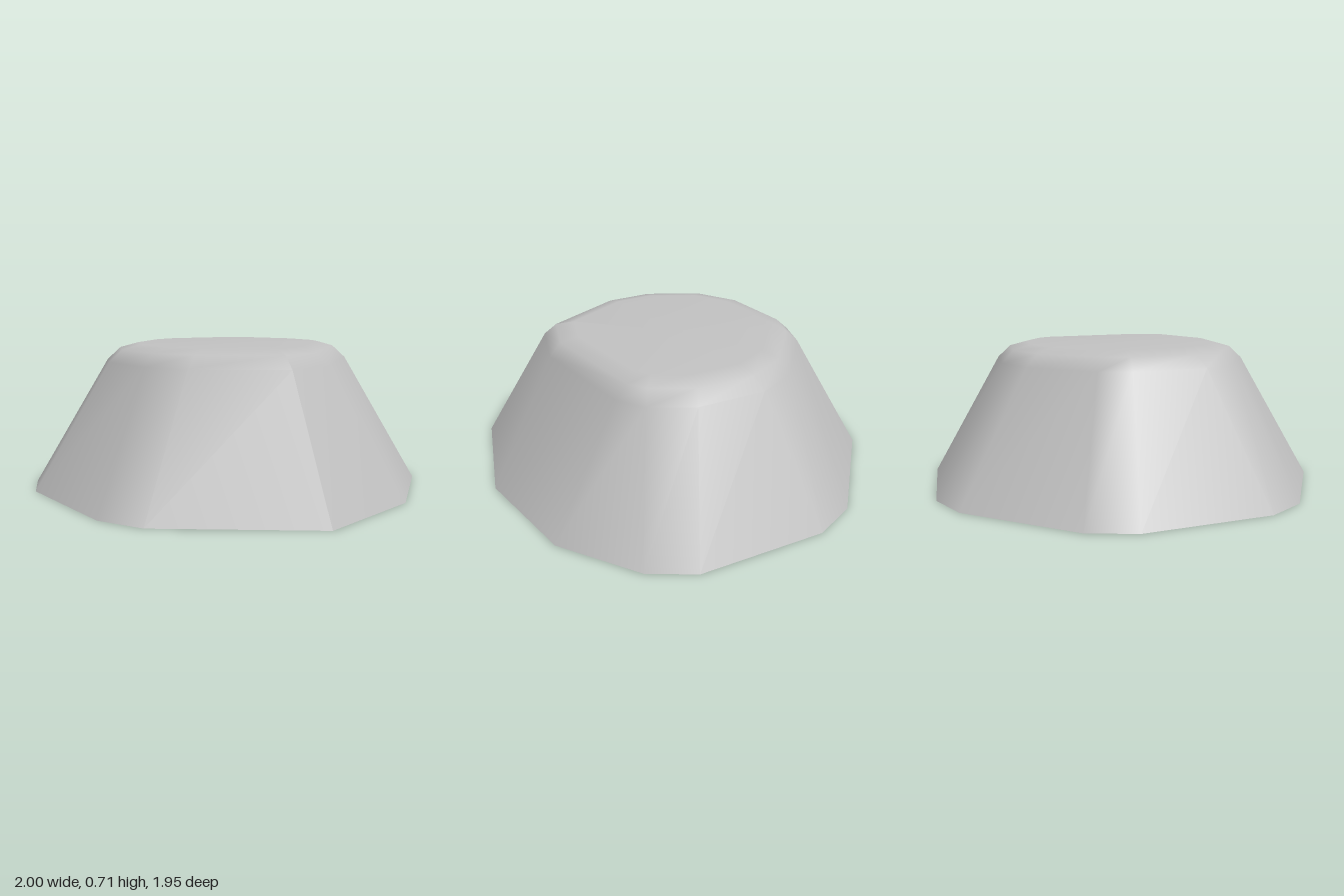
import * as THREE from 'three';

// Footprint on the ground and the matching rim near the top, as [x, z], counterclockwise from above
const BASE = [[-0.46, 0.97], [0.14, 0.97], [0.66, 0.72], [0.94, 0.36], [1, 0.12], [0.85, -0.51], [0.7, -0.7],
  [0.12, -0.98], [-0.12, -0.98], [-0.71, -0.7], [-0.86, -0.51], [-1, 0.12], [-0.95, 0.36]];
const RIM = [[-0.27, 0.575], [-0.04, 0.575], [0.46, 0.33], [0.52, 0.25], [0.57, 0.03], [0.51, -0.25], [0.37, -0.42],
  [0.07, -0.56], [-0.07, -0.56], [-0.37, -0.42], [-0.51, -0.25], [-0.57, 0.03], [-0.52, 0.25]];

const mix = (a, b, t) => a.map((v, k) => v + (b[k] - v) * t);

function smoothGeometry(positions, indices) {
  const g = new THREE.BufferGeometry();
  g.setAttribute('position', new THREE.Float32BufferAttribute(positions, 3));
  g.setIndex(indices);
  g.computeVertexNormals();
  return g;
}

export function createModel() {
  const group = new THREE.Group();
  group.name = 'rock';
  const stone = new THREE.MeshStandardMaterial({ color: 0xc0c0c0 });
  stone.name = 'grey stone';

  // Rounded body: tapering rings, with an open seam that makes the sharp front ridge
  const n = BASE.length;
  const rings = [
    [0, BASE],
    [0.63, BASE.map((p, i) => mix(p, RIM[i], 0.85))],
    [0.69, RIM],
    [0.715, RIM.map((p) => mix([0, 0.02], p, 0.84))],
  ];
  const positions = [];
  const indices = [];
  for (const [y, ring] of rings) {
    for (let i = 0; i <= n; i++) positions.push(ring[i % n][0], y, ring[i % n][1]);
  }
  for (let r = 0; r < rings.length - 1; r++) {
    for (let i = 0; i < n; i++) {
      const a = r * (n + 1) + i;
      const d = a + n + 1;
      indices.push(a, a + 1, d + 1, a, d + 1, d);
    }
  }
  // Flat top shares the last ring, so its edge shades softly
  const center = positions.length / 3;
  const last = (rings.length - 1) * (n + 1);
  positions.push(0, 0.715, 0.02);
  for (let i = 0; i < n; i++) indices.push(center, last + i, last + i + 1);
  const body = new THREE.Mesh(smoothGeometry(positions, indices), stone);
  body.name = 'rockBody';
  group.add(body);

  // Flat underside facing down
  const under = new THREE.ShapeGeometry(new THREE.Shape(BASE.map(([x, z]) => new THREE.Vector2(x, z))));
  under.rotateX(Math.PI / 2);
  const underside = new THREE.Mesh(under, stone);
  underside.name = 'underside';
  group.add(underside);

  return group;
}
